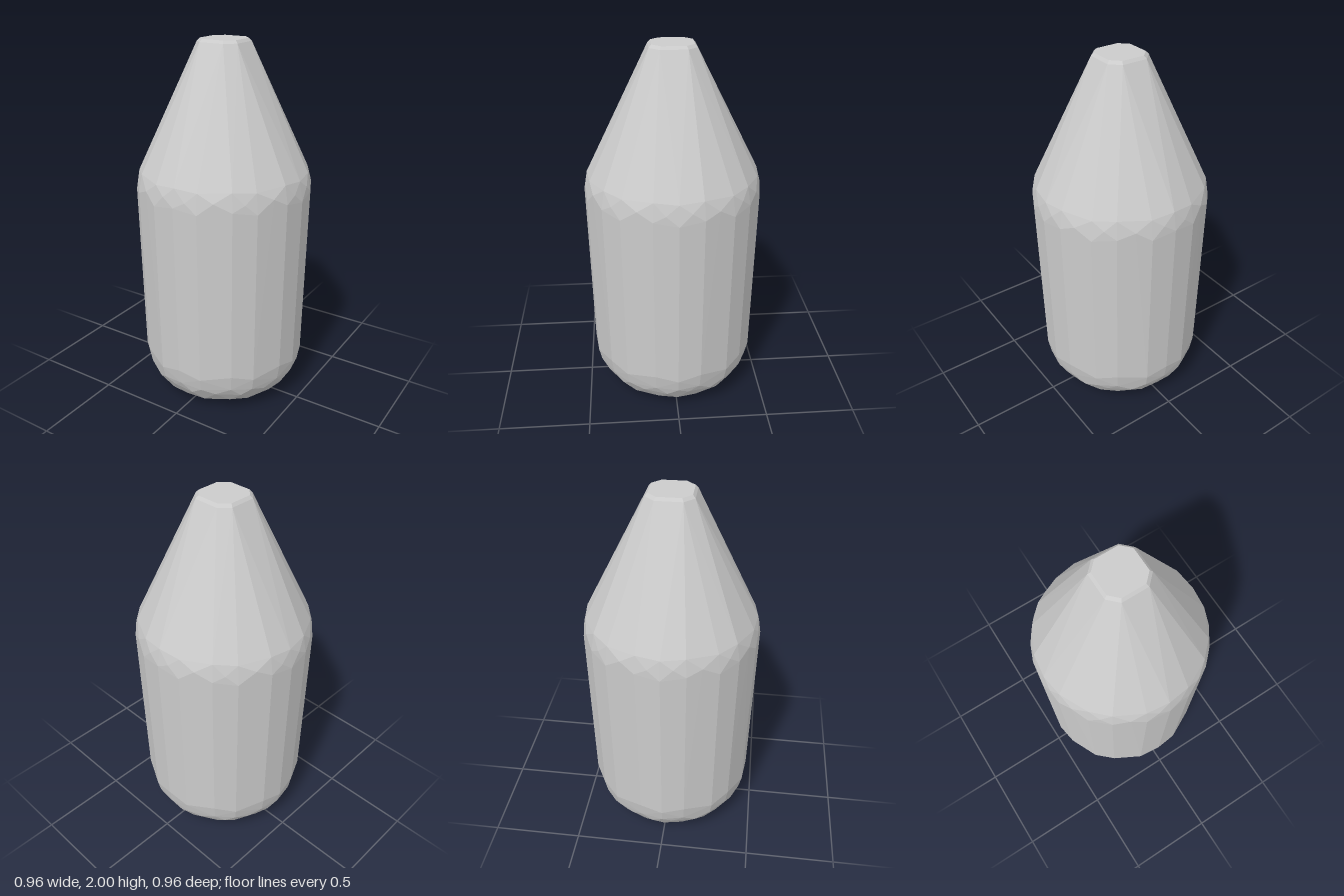
import * as THREE from 'three';
import { ConvexGeometry } from 'three/addons/geometries/ConvexGeometry.js';

// Uneven angles (degrees) within one quadrant, repeated four times around
const BODY = [0, 15.8, 37.3, 52.7, 74.2];
const BETWEEN = [8, 26, 45, 64, 82];
const OCTAGON = [30, 60];

// One ring of hull points; every second point may be shifted up or down
function ring(radius, y, angles, stagger = 0) {
  const points = [];
  for (let q = 0; q < 4; q++) {
    angles.forEach((deg, i) => {
      const a = THREE.MathUtils.degToRad(deg + q * 90);
      const dy = (q * angles.length + i) % 2 ? stagger : 0;
      points.push(new THREE.Vector3(radius * Math.cos(a), y + dy, radius * Math.sin(a)));
    });
  }
  return points;
}

export function createModel() {
  const group = new THREE.Group();
  group.name = 'bottle';
  const points = [
    // rounded foot
    ...ring(0.265, 0, [0, 30, 60]),
    ...ring(0.385, 0.06, BODY, 0.006),
    ...ring(0.428, 0.12, BETWEEN, 0.01),
    ...ring(0.446, 0.16, BODY, 0.012),
    // straight, slightly widening wall
    ...ring(0.462, 0.23, BODY, 0.03),
    ...ring(0.48, 1.2, BODY, 0.02),
    // softened shoulder
    ...ring(0.474, 1.255, BETWEEN, 0.01),
    ...ring(0.462, 1.31, BODY, 0.01),
    // cone tip with a small bevelled octagonal top
    ...ring(0.141, 1.985, OCTAGON),
    ...ring(0.126, 2, OCTAGON),
  ];
  const body = new THREE.Mesh(
    new ConvexGeometry(points),
    new THREE.MeshStandardMaterial({ color: 0xcccccc, flatShading: true })
  );
  body.name = 'bottleBody';
  group.add(body);
  return group;
}
